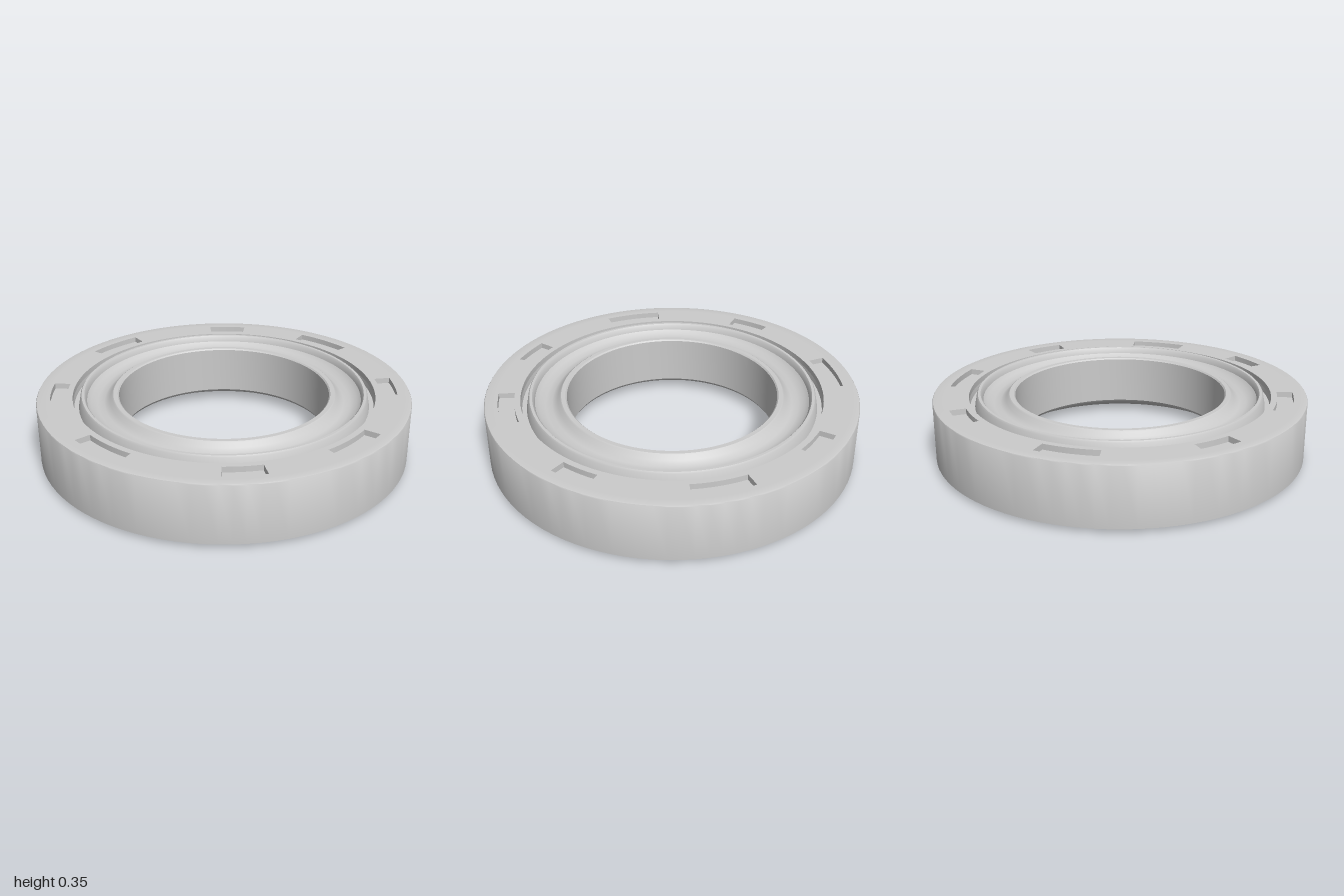
import * as THREE from 'three';
import { toCreasedNormals } from 'three/addons/utils/BufferGeometryUtils.js';

const SEGMENTS = 96;
const rad = THREE.MathUtils.degToRad;
const material = new THREE.MeshStandardMaterial({ color: 0xcccccc, roughness: 0.7 });

// Trace a ring sector, centred on an angle in degrees
function traceSector(path, inner, outer, centre, half) {
  const a = rad(centre - half), b = rad(centre + half);
  path.moveTo(outer * Math.cos(a), outer * Math.sin(a));
  path.absarc(0, 0, outer, a, b, false);
  path.lineTo(inner * Math.cos(b), inner * Math.sin(b));
  path.absarc(0, 0, inner, b, a, true);
  path.closePath();
  return path;
}

// Extrude a plan outline upwards from y0 to y1
function extrudeUp(shape, y0, y1, curveSegments) {
  const geometry = new THREE.ExtrudeGeometry(shape, { depth: y1 - y0, bevelEnabled: false, curveSegments });
  return geometry.rotateX(-Math.PI / 2).translate(0, y0, 0);
}

function addMesh(group, name, geometry) {
  const mesh = new THREE.Mesh(toCreasedNormals(geometry, rad(32)), material);
  mesh.name = name;
  group.add(mesh);
}

export function createModel() {
  const group = new THREE.Group();
  group.name = 'slottedRing';

  // Revolved body: outer skirt, groove, raised lip, dished channel, bore, hub and roof
  const profile = [
    [0.945, 0.02], [1, 0.02], [1, 0.333], [0.997, 0.338], [0.99, 0.34], [0.95, 0.34],
    [0.95, 0.31], [0.81, 0.31], [0.805, 0.285], [0.78, 0.285],
    [0.768, 0.345], [0.762, 0.354], [0.748, 0.354], [0.741, 0.345],
    [0.735, 0.32], [0.715, 0.302], [0.68, 0.293], [0.645, 0.295], [0.615, 0.312],
    [0.602, 0.335], [0.595, 0.34], [0.572, 0.34], [0.565, 0.333],
    [0.565, 0.075], [0.575, 0.06], [0.69, 0.004], [0.7, 0], [0.715, 0], [0.72, 0.006],
    [0.72, 0.21], [0.945, 0.21], [0.945, 0.02],
  ].map(([r, y]) => new THREE.Vector2(r, y));
  addMesh(group, 'ringBody', new THREE.LatheGeometry(profile, SEGMENTS));

  // Top plate with four long and four short pockets
  const plate = new THREE.Shape().absarc(0, 0, 0.95, 0, Math.PI * 2, false);
  plate.holes.push(new THREE.Path().absarc(0, 0, 0.81, 0, Math.PI * 2, true));
  const pockets = [
    [46.5, 9.8], [133.5, 9.8], [-133.5, 9.8], [-46.5, 9.8],
    [0, 6.7], [180, 6.7], [86.4, 6.7], [-86.4, 6.7],
  ];
  for (const [centre, half] of pockets) {
    plate.holes.push(traceSector(new THREE.Path(), 0.842, 0.928, centre, half));
  }
  addMesh(group, 'pocketedTopPlate', extrudeUp(plate, 0.31, 0.34, SEGMENTS / 2));

  // Eight steps under the roof, each with a tapered catch on the skirt wall
  for (let i = 0; i < 8; i++) {
    const centre = -11 + i * 45;
    const step = traceSector(new THREE.Shape(), 0.715, 0.95, centre, 14.5);
    addMesh(group, 'roofStep', extrudeUp(step, 0.18, 0.215, 12));

    const catchShape = traceSector(new THREE.Shape(), 0.92, 0.95, centre, 14.5);
    const geometry = extrudeUp(catchShape, 0.035, 0.185, 12);
    const p = geometry.attributes.position;
    for (let v = 0; v < p.count; v++) {
      const r = Math.hypot(p.getX(v), p.getZ(v));
      if (p.getY(v) < 0.1 && r < 0.935) {
        p.setX(v, p.getX(v) * 0.944 / r);
        p.setZ(v, p.getZ(v) * 0.944 / r);
      }
    }
    geometry.computeVertexNormals();
    addMesh(group, 'skirtCatch', geometry);
  }
  return group;
}
